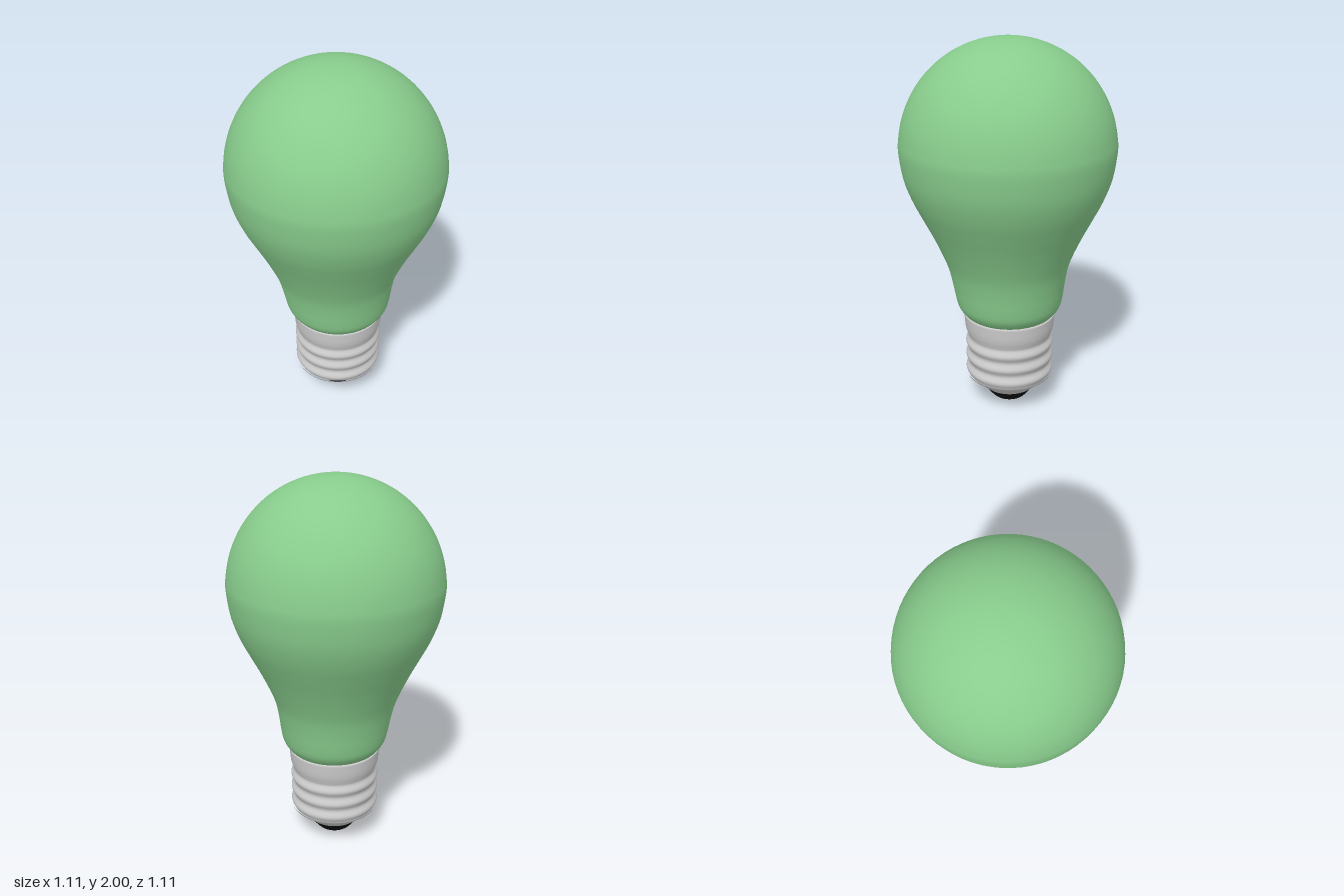
import * as THREE from 'three';

const SEGMENTS = 72;

// Revolves a profile of [radius, height] pairs, smoothed by a spline if steps > 0.
function lathe(name, profile, color, steps = 0) {
  let pts = profile.map(([r, y]) => new THREE.Vector2(r, y));
  if (steps) pts = new THREE.SplineCurve(pts).getPoints(steps);
  pts.forEach((p) => { p.x = Math.max(p.x, 0); });
  const geometry = new THREE.LatheGeometry(pts, SEGMENTS);
  // The neck and base sit slightly off the globe's axis.
  const pos = geometry.attributes.position;
  for (let i = 0; i < pos.count; i++) {
    const shift = 0.013 * (1 - THREE.MathUtils.smoothstep(pos.getY(i), 0.55, 0.9));
    pos.setX(i, pos.getX(i) + shift);
  }
  const mesh = new THREE.Mesh(geometry, new THREE.MeshStandardMaterial({ color }));
  mesh.name = name;
  return mesh;
}

export function createModel() {
  const group = new THREE.Group();
  group.name = 'lightBulb';

  // Glass: curved neck flowing into a round globe
  const glass = [
    [0.235, 0.53], [0.252, 0.545], [0.277, 0.585], [0.29, 0.64], [0.303, 0.72],
    [0.323, 0.81], [0.357, 0.9], [0.402, 1.0], [0.452, 1.1], [0.5, 1.2], [0.537, 1.31],
  ];
  for (let i = 0; i <= 12; i++) {
    const a = (i / 12) * Math.PI / 2;
    glass.push([0.555 * Math.cos(a), 1.44 + 0.56 * Math.sin(a)]);
  }
  group.add(lathe('glassGlobe', glass, 0x88cc8c, 110));

  // Screw shell: straight collar above three rounded threads
  const shell = [];
  for (let i = 0; i <= 36; i++) {
    const y = 0.17 + i * 0.0065;
    shell.push([0.232 + 0.007 * Math.cos(((y - 0.2) / 0.08) * Math.PI * 2), y]);
  }
  shell.push([0.233, 0.425], [0.24, 0.45], [0.243, 0.48], [0.246, 0.524]);
  group.add(lathe('screwShell', shell, 0xcccccc));

  // Rim closing the shell under the glass
  group.add(lathe('shellRim', [[0.246, 0.524], [0.246, 0.534], [0.2, 0.534]], 0xcccccc));

  // Tapered end of the base
  group.add(lathe('baseCone', [[0.142, 0.085], [0.215, 0.15], [0.234, 0.165], [0.238, 0.175]], 0xcccccc));

  // Dark contact tip
  group.add(lathe('contactTip', [
    [0, 0], [0.04, 0.002], [0.08, 0.014], [0.108, 0.04], [0.142, 0.086],
  ], 0x111111, 20));

  return group;
}
